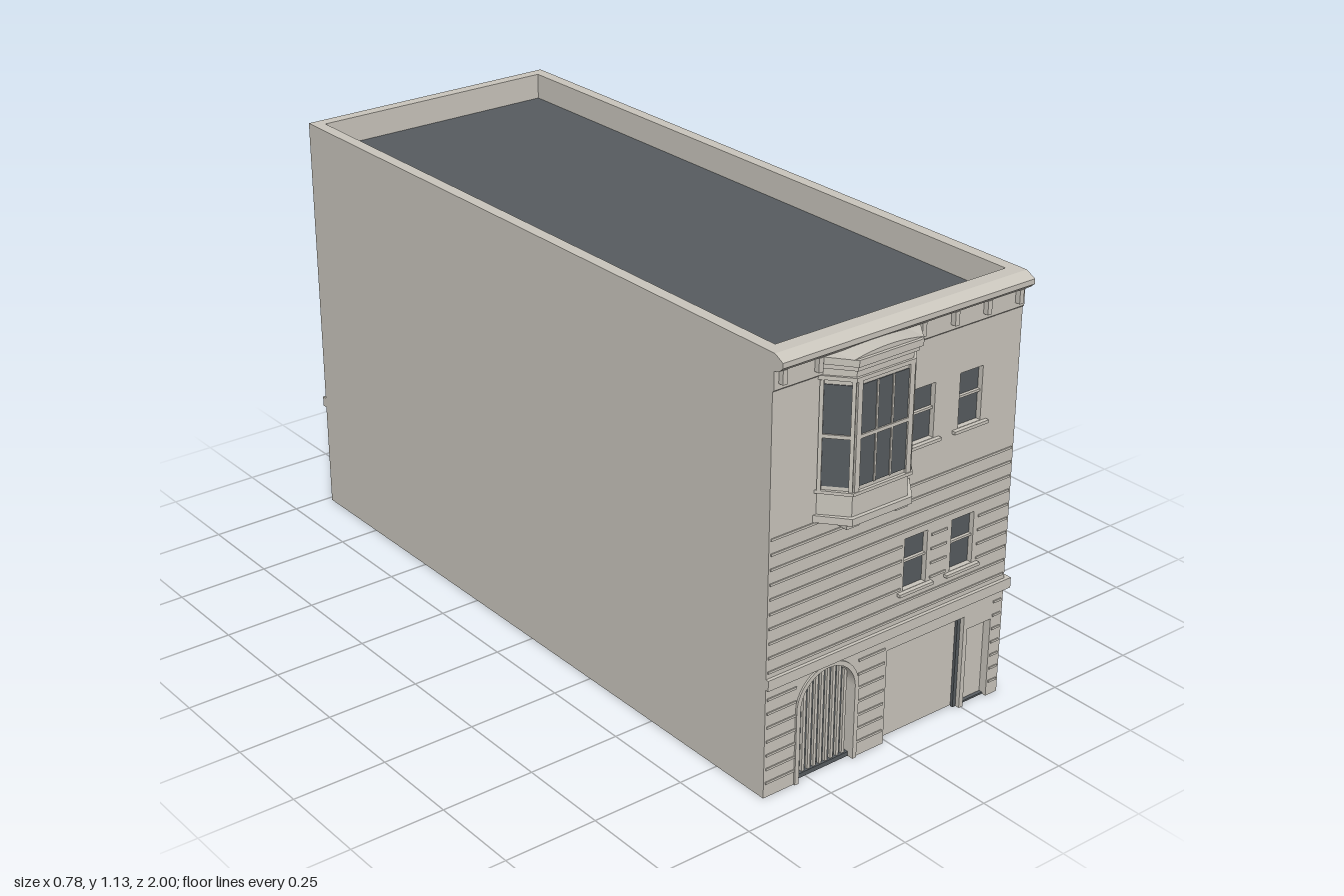
import * as THREE from 'three';

const stone = new THREE.MeshStandardMaterial({ color: 0xc8c4bb });
stone.name = 'stone';
const slate = new THREE.MeshStandardMaterial({ color: 0x565b5f });
slate.name = 'slate';

// Overall shell
const X0 = -0.39, X1 = 0.373, Z0 = -0.985, Z1 = 0.92, H = 1.135, T = 0.032;

function add(parent, name, geometry, material) {
  const mesh = new THREE.Mesh(geometry, material);
  mesh.name = name;
  parent.add(mesh);
  return mesh;
}

// Box given by its ranges on x, y and z
function box(parent, name, [xa, xb], [ya, yb], [za, zb], material = stone) {
  const mesh = add(parent, name, new THREE.BoxGeometry(xb - xa, yb - ya, zb - za), material);
  mesh.position.set((xa + xb) / 2, (ya + yb) / 2, (za + zb) / 2);
  return mesh;
}

function extrude(shape, depth) {
  return new THREE.ExtrudeGeometry(shape, { depth, bevelEnabled: false, curveSegments: 20 });
}

// Wall from u0 to u1 with openings; its outer face lies at local z = T
function facade(parent, name, u0, u1, doors, windows) {
  const group = new THREE.Group();
  group.name = name;
  parent.add(group);
  const shape = new THREE.Shape();
  shape.moveTo(u0, 0);
  for (const { a, b, h, arch } of doors) {
    shape.lineTo(a, 0);
    shape.lineTo(a, h);
    if (arch) shape.absarc((a + b) / 2, h, (b - a) / 2, Math.PI, 0, true);
    else shape.lineTo(b, h);
    shape.lineTo(b, 0);
  }
  shape.lineTo(u1, 0);
  shape.lineTo(u1, H);
  shape.lineTo(u0, H);
  for (const { u, w, y0, y1 } of windows) {
    const hole = new THREE.Path();
    hole.moveTo(u - w / 2, y0);
    hole.lineTo(u - w / 2, y1);
    hole.lineTo(u + w / 2, y1);
    hole.lineTo(u + w / 2, y0);
    hole.closePath();
    shape.holes.push(hole);
  }
  add(group, 'wall', extrude(shape, T), stone);
  for (const { u, w, y0, y1, sash } of windows) {
    const l = u - w / 2, r = u + w / 2, mid = (y0 + y1) / 2 + 0.005;
    box(group, 'windowPane', [l, r], [y0, y1], [T - 0.02, T - 0.014], slate);
    if (sash) box(group, 'sashRail', [l, r], [mid - 0.003, mid + 0.003], [T - 0.014, T - 0.006]);
    const over = sash ? 0.018 : 0;
    box(group, 'windowSill', [l - over, r + over], [y0 - 0.009, y0 - 0.001], [T - 0.01, T + 0.011]);
  }
  return group;
}

// Recessed plain door with a dark edge and threshold
function door(group, a, b, h) {
  box(group, 'door', [a, b], [0.005, h], [0, 0.01]);
  box(group, 'doorEdge', [a + 0.002, a + 0.009], [0.005, h - 0.005], [0.01, 0.017], slate);
  box(group, 'doorThreshold', [a, b], [0, 0.005], [-0.01, 0.02], slate);
}

// Two storeys of sash windows at the given places
const sashes = (places, w) => places.flatMap(u => [
  { u, w, y0: 0.785, y1: 0.925, sash: true },
  { u, w, y0: 0.406, y1: 0.544, sash: true },
]);
const lowWindows = places => places.map(u => ({ u, w: 0.1, y0: 0.2, y1: 0.29 }));

function buildFront(parent) {
  const gate = { a: -0.285, b: -0.115, h: 0.2, arch: true };
  const front = facade(parent, 'frontWall', X0, X1,
    [gate, { a: -0.012, b: 0.243, h: 0.258 }, { a: 0.256, b: 0.335, h: 0.22 }],
    sashes([0.066, 0.218], 0.073));
  front.position.z = Z1 - T;

  // Arched gate
  const cx = -0.2, r = 0.085, R = 0.097;
  const trim = new THREE.Shape();
  trim.moveTo(cx - R, 0);
  trim.lineTo(cx - R, gate.h);
  trim.absarc(cx, gate.h, R, Math.PI, 0, true);
  trim.lineTo(cx + R, 0);
  trim.lineTo(cx + r, 0);
  trim.lineTo(cx + r, gate.h);
  trim.absarc(cx, gate.h, r, 0, Math.PI, false);
  trim.lineTo(cx - r, 0);
  add(front, 'archTrim', extrude(trim, 0.005), stone).position.z = T;
  box(front, 'gateBacking', [cx - r, cx + r], [0, 0.295], [-0.006, -0.001], slate);
  for (let i = -4; i <= 4; i++) {
    const x = cx + i * 0.018;
    const top = gate.h + Math.sqrt(r * r - (i * 0.018) ** 2);
    box(front, 'gateBar', [x - 0.0042, x + 0.0042], [0.012, top], [0.008, 0.016]);
  }
  box(front, 'gateBottomRail', [cx - r, cx + r], [0, 0.012], [0.006, 0.02], slate);

  // Garage and small door
  box(front, 'garageDoor', [-0.012, 0.243], [0.003, 0.258], [0.004, 0.012]);
  for (const x of [-0.012, 0.233]) box(front, 'garageJamb', [x, x + 0.01], [0, 0.258], [0.012, 0.02], slate);
  box(front, 'frontDoor', [0.256, 0.335], [0.005, 0.22], [0, 0.01]);
  box(front, 'frontDoorHandle', [0.263, 0.268], [0.09, 0.205], [0.01, 0.018], slate);
  box(front, 'frontThreshold', [0.256, 0.335], [0, 0.005], [0, 0.02], slate);

  // Horizontal stone courses
  const course = (y, spans) => spans.forEach(s => box(front, 'stoneCourse', s, [y - 0.003, y + 0.003], [T - 0.002, T + 0.003]));
  for (let i = 0; i < 7; i++) course(0.04 + i * 0.0377, [[-0.385, -0.297], [-0.103, -0.02], [0.34, 0.366]]);
  for (let i = 0; i < 10; i++) {
    const beside = i >= 2 && i <= 5;
    course(0.338 + i * 0.038, beside ? [[-0.385, 0.02], [0.115, 0.166], [0.268, 0.366]] : [[-0.385, 0.366]]);
  }

  // Cornice and brackets
  const profile = new THREE.Shape([
    [Z1, 1.042], [0.924, 1.046], [0.924, 1.092], [0.94, 1.097], [0.952, 1.108], [0.952, 1.121], [0.925, H], [Z1, H],
  ].map(p => new THREE.Vector2(...p)));
  const cornice = add(parent, 'cornice', extrude(profile, X1 - X0).rotateY(-Math.PI / 2), stone);
  cornice.position.x = X1;
  for (let i = 0; i < 8; i++) {
    const x = -0.37 + i * 0.1027;
    box(parent, 'corniceBracket', [x - 0.0065, x + 0.0065], [1.06, 1.095], [Z1, 0.938]);
  }
}

// Bay window, local x = 0 at its middle
function buildBay(parent) {
  const bay = new THREE.Group();
  bay.name = 'bayWindow';
  bay.position.x = -0.115;
  parent.add(bay);
  const slab = (name, y0, y1, g) => {
    const hb = 0.138 + g, hf = 0.085 + g * 0.6, z = 0.98 + g;
    const plan = new THREE.Shape([[-hb, -Z1], [-hf, -z], [hf, -z], [hb, -Z1]].map(p => new THREE.Vector2(...p)));
    add(bay, name, extrude(plan, y1 - y0).rotateX(-Math.PI / 2), stone).position.y = y0;
  };
  slab('bayCore', 0.7, 1.075, 0);
  slab('bayBase', 0.684, 0.702, 0.01);
  slab('bayLedge', 0.757, 0.765, 0.008);
  slab('bayArchitrave', 1.035, 1.045, 0.006);
  slab('bayCrown', 1.064, 1.077, 0.01);
  slab('bayCap', 1.077, 1.094, 0.018);

  // One glazed face: panes with posts and rails
  const face = (x, z, turn, width, glass, columns) => {
    const group = new THREE.Group();
    group.name = 'bayFace';
    group.position.set(x, 0, z);
    group.rotation.y = turn;
    bay.add(group);
    const g = glass / 2, w = width / 2;
    box(group, 'bayGlass', [-g, g], [0.775, 1.024], [-0.001, 0.002], slate);
    box(group, 'bayRail', [-g, g], [0.895, 0.904], [0.002, 0.006]);
    for (let i = 1; i < columns; i++) {
      const u = -g + glass * i / columns;
      box(group, 'bayMullion', [u - 0.0025, u + 0.0025], [0.775, 1.024], [0.002, 0.005]);
    }
    for (const s of [[-w, -g], [g, w]]) box(group, 'bayPost', s, [0.765, 1.035], [-0.002, 0.006]);
  };
  face(0, 0.98, 0, 0.17, 0.142, 3);
  const turn = Math.atan2(0.06, 0.053);
  for (const s of [-1, 1]) {
    face(s * 0.1115, 0.95, s * turn, 0.08, 0.062, 1);
    box(bay, 'bayCorbel', [s * 0.075 - 0.019, s * 0.075 + 0.019], [0.67, 0.684], [Z1, 0.975]);
  }

  // Low curved pediment
  const curve = new THREE.Shape();
  curve.moveTo(-0.105, 1.094);
  curve.lineTo(0.105, 1.094);
  curve.quadraticCurveTo(0, 1.116, -0.105, 1.094);
  add(bay, 'bayPediment', extrude(curve, 0.07), stone).position.z = Z1;
}

export function createModel() {
  const model = new THREE.Group();
  model.name = 'townBuilding';

  buildFront(model);
  buildBay(model);

  // Right side, its local u running towards the back
  const bays = Array.from({ length: 8 }, (_, i) => -0.726 + i * 0.2166);
  const right = facade(model, 'rightSideWall', T - Z1, -Z0 - T, [{ a: -0.02, b: 0.08, h: 0.22 }],
    [...sashes(bays, 0.066), ...lowWindows(bays.filter((_, i) => i < 3 || i > 4))]);
  right.rotation.y = Math.PI / 2;
  right.position.x = X1 - T;
  door(right, -0.02, 0.08, 0.22);

  // Back, mirrored in x
  const back = facade(model, 'backWall', -X1, -X0, [{ a: -0.04, b: 0.06, h: 0.22 }],
    [...sashes([-0.187, 0.01, 0.207], 0.073), ...lowWindows([-0.187, 0.207])]);
  back.rotation.y = Math.PI;
  back.position.z = Z0 + T;
  door(back, -0.04, 0.06, 0.22);

  // Blank left side
  box(model, 'leftSideWall', [X0, X0 + T], [0, H], [Z0 + T, Z1 - T]);

  // String course on three sides
  box(model, 'frontBand', [X0, 0.388], [0.294, 0.322], [Z1, 0.929]);
  box(model, 'rightBand', [X1, 0.388], [0.294, 0.322], [Z0, Z1]);
  box(model, 'backBand', [X0, 0.388], [0.294, 0.322], [-1, Z0]);

  // Sunken flat roof
  box(model, 'roof', [X0 + T, X1 - T], [1.05, 1.065], [Z0 + T, Z1 - T], slate);

  return model;
}
